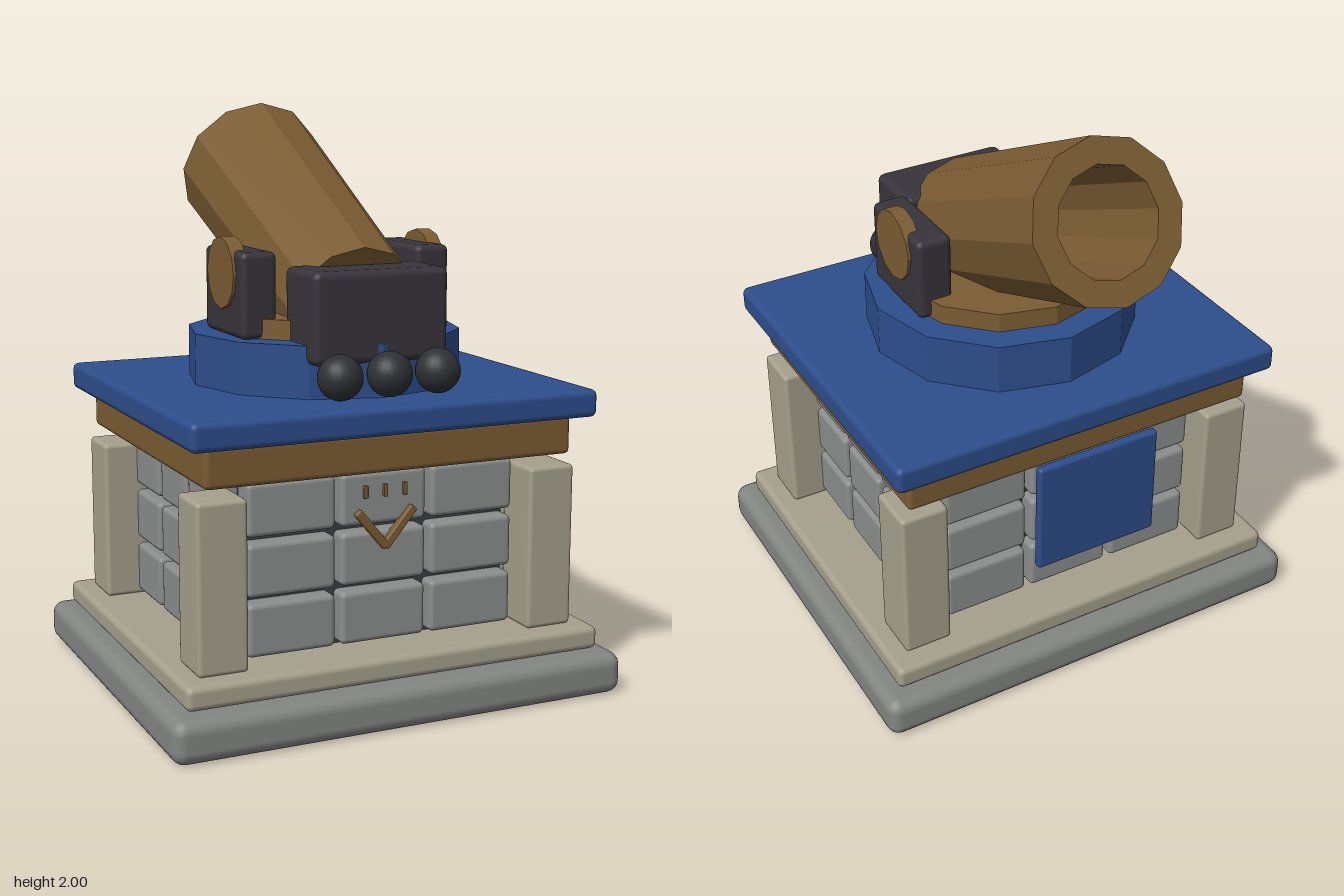
import * as THREE from 'three';
import { RoundedBoxGeometry } from 'three/addons/geometries/RoundedBoxGeometry.js';

const material = (name, color) => {
  const m = new THREE.MeshStandardMaterial({ color });
  m.name = name;
  return m;
};

// Faceted normals for the low-poly round parts
const faceted = (geometry) => {
  const g = geometry.index ? geometry.toNonIndexed() : geometry;
  g.computeVertexNormals();
  return g;
};

export function createModel() {
  const root = new THREE.Group();
  root.name = 'cannonTower';

  const blue = material('blue', 0x2d4d8b);
  const bronze = material('bronze', 0x7a5c33);
  const stone = material('stone', 0x8b8d8c);
  const baseStone = material('baseStone', 0x838583);
  const cream = material('cream', 0xa5a08c);
  const iron = material('iron', 0x37343b);
  const mortar = material('mortar', 0x3c3d43);
  const shot = material('shot', 0x2f3034);

  const CZ = 0.04; // centre of the tower in z

  const add = (name, geometry, mat, x, y, z, parent = root) => {
    const mesh = new THREE.Mesh(geometry, mat);
    mesh.name = name;
    mesh.position.set(x, y, z);
    parent.add(mesh);
    return mesh;
  };
  const box = (name, mat, w, h, d, x, y, z, r = 0.015, parent = root) =>
    add(name, new RoundedBoxGeometry(w, h, d, 2, r), mat, x, y, z, parent);

  // Stepped foundation
  box('foundation', baseStone, 1.63, 0.145, 1.41, 0, 0.0725, CZ, 0.045);
  box('plinth', cream, 1.5, 0.08, 1.28, 0, 0.19, CZ, 0.022);

  // Mortar core with three rows of blocks on every side
  box('wallCore', mortar, 0.97, 0.62, 0.85, 0, 0.535, CZ, 0.01);
  const blocks = new THREE.Group();
  blocks.name = 'wallBlocks';
  root.add(blocks);
  for (let row = 0; row < 3; row++) {
    const y = 0.33 + row * 0.2;
    for (let col = -1; col <= 1; col++) {
      for (const side of [-1, 1]) {
        box('endBlock', stone, 0.31, 0.178, 0.1, col * 0.33, y, CZ + side * 0.44, 0.018, blocks);
        box('sideBlock', stone, 0.1, 0.178, 0.248, side * 0.515, y, CZ + col * 0.275, 0.018, blocks);
      }
    }
  }

  // Corner posts
  for (const sx of [-1, 1])
    for (const sz of [-1, 1])
      box('cornerPost', cream, 0.172, 0.565, 0.182, sx * 0.598, 0.51, CZ + sz * 0.474, 0.015);

  // Roof layers
  box('cornice', bronze, 1.32, 0.135, 1.15, 0, 0.9, CZ, 0.018);
  box('roofSlab', blue, 1.45, 0.095, 1.28, 0, 1.0125, CZ, 0.022);

  // Turntable
  add('turntable', faceted(new THREE.CylinderGeometry(0.475, 0.475, 0.18, 12)), blue, 0, 1.145, CZ);
  add('turntableRing', faceted(new THREE.CylinderGeometry(0.38, 0.38, 0.07, 12)), bronze, 0, 1.267, CZ);

  // Hollow tapered barrel, tilted up towards the back
  const profile = [[0.23, -0.5], [0.268, 0.5], [0.18, 0.5], [0.165, -0.5], [0.23, -0.5]]
    .map(([r, y]) => new THREE.Vector2(r, y));
  const barrel = add('barrel', faceted(new THREE.LatheGeometry(profile, 12)), bronze, 0, 1.5435, -0.178);
  barrel.rotation.x = THREE.MathUtils.degToRad(-64.7);

  // Breech block and shot
  box('breech', iron, 0.485, 0.305, 0.245, 0, 1.325, 0.388, 0.025);
  for (let i = -1; i <= 1; i++)
    add('cannonBall', new THREE.SphereGeometry(0.075, 24, 16), shot, i * 0.176, 1.145, 0.56);

  // Cradle brackets with trunnion caps
  for (const s of [-1, 1]) {
    box('bracket', iron, 0.127, 0.29, 0.345, s * 0.322, 1.378, 0.073, 0.022);
    const cap = new THREE.CylinderGeometry(0.122, 0.122, 0.053, 12);
    cap.rotateZ(Math.PI / 2);
    add('trunnionCap', faceted(cap), bronze, s * 0.369, 1.443, 0.075);
  }

  // Hanging cloth at the back
  box('banner', blue, 0.46, 0.415, 0.034, 0, 0.692, -0.613, 0.012);

  // Chevron and small bars on the front wall
  for (const s of [-1, 1]) {
    const arm = box('chevronArm', bronze, 0.165, 0.028, 0.03, s * 0.05, 0.628, 0.535, 0.005);
    arm.rotation.z = s * 0.87;
  }
  for (let i = -1; i <= 1; i++)
    box('frontBar', bronze, 0.014, 0.042, 0.02, i * 0.072, 0.755, 0.533, 0.003);

  return root;
}
